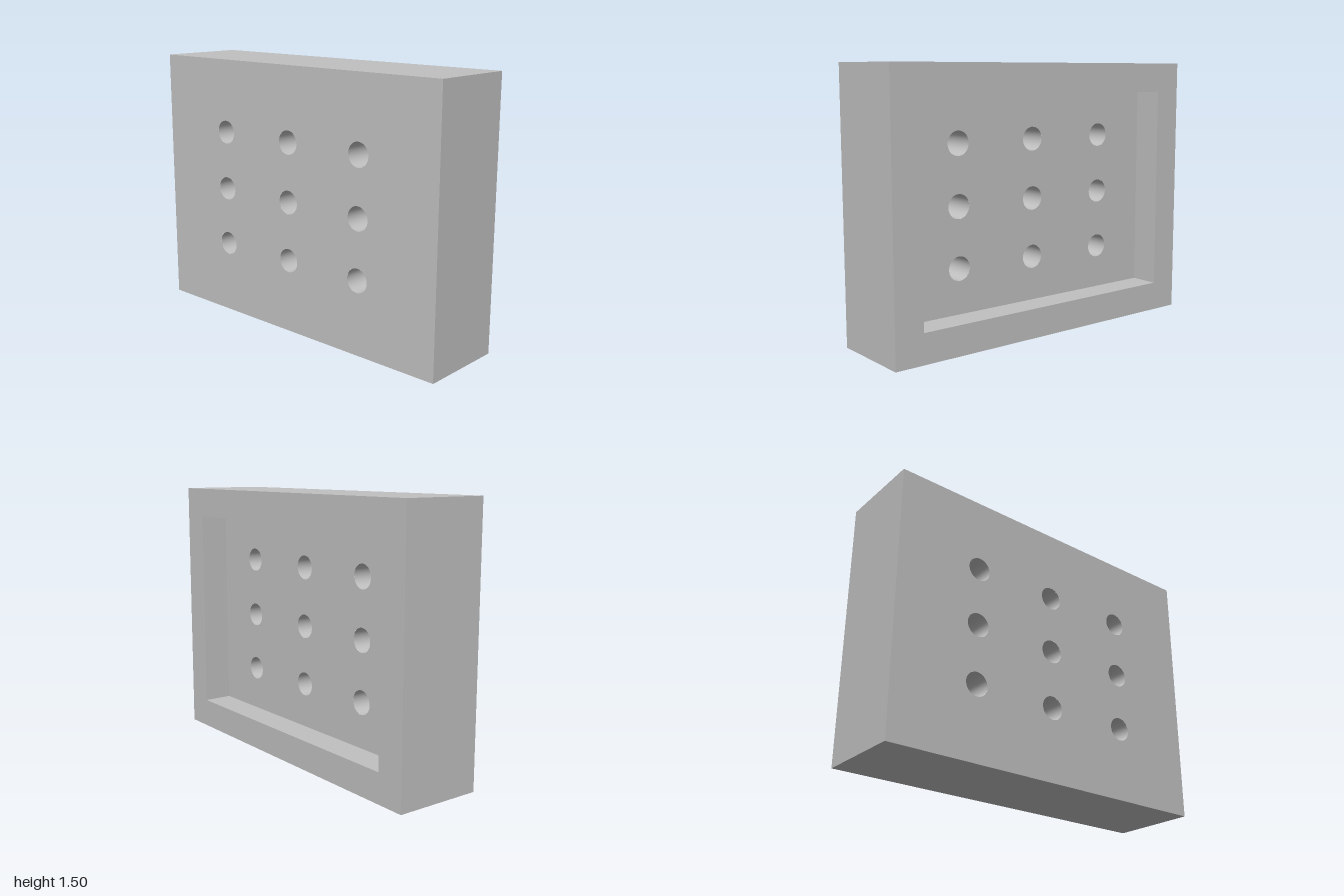
import * as THREE from 'three';

const W = 2, H = 1.5, D = 0.5;        // outer block
const RIM = 1 / 6, RECESS = 1 / 6;    // rim width and recess depth at the back
const R = 1 / 15, SEG = 48;           // drilled holes
const FLOOR_Z = -D / 2 + RECESS;

const centres = [];
for (const x of [-0.5, 0, 0.5])
  for (const y of [-1 / 3, 0, 1 / 3]) centres.push([x, y]);

// Centred rectangle as a Shape or a Path
function rect(Type, w, h) {
  return new Type([[-1, -1], [1, -1], [1, 1], [-1, 1]]
    .map(([x, y]) => new THREE.Vector2(x * w / 2, y * h / 2)));
}

// Rectangular face pierced by the nine holes
function drilledFace(w, h) {
  const shape = rect(THREE.Shape, w, h);
  for (const [x, y] of centres)
    shape.holes.push(new THREE.Path().absarc(x, y, R, 0, Math.PI * 2, true));
  return new THREE.ShapeGeometry(shape, SEG);
}

// The four side walls of a box, facing outward or inward
function walls(w, h, d, inward = false) {
  const g = new THREE.BoxGeometry(w, h, d);
  const index = Array.from(g.index.array).slice(0, 24);
  g.setIndex(inward ? index.reverse() : index);
  g.clearGroups();
  g.computeVertexNormals();
  return g;
}

export function createModel() {
  const grey = new THREE.MeshStandardMaterial({ color: 0xc0c0c0 });
  grey.name = 'light grey';
  const model = new THREE.Group();
  model.name = 'drilledBlock';

  function add(name, geometry, x, y, z) {
    const mesh = new THREE.Mesh(geometry, grey);
    mesh.name = name;
    mesh.position.set(x, y + H / 2, z);
    model.add(mesh);
  }

  const innerW = W - 2 * RIM, innerH = H - 2 * RIM;

  // Outside of the block
  add('outerWalls', walls(W, H, D), 0, 0, 0);
  add('frontFace', drilledFace(W, H), 0, 0, D / 2);

  // Back rim around the recess
  const rim = rect(THREE.Shape, W, H);
  rim.holes.push(rect(THREE.Path, innerW, innerH));
  add('backRim', new THREE.ShapeGeometry(rim).rotateY(Math.PI), 0, 0, -D / 2);

  // Recess in the back
  add('recessWalls', walls(innerW, innerH, RECESS, true), 0, 0, -D / 2 + RECESS / 2);
  add('recessFloor', drilledFace(innerW, innerH).rotateY(Math.PI), 0, 0, FLOOR_Z);

  // Hole linings: the descending profile makes them face inward
  const depth = D / 2 - FLOOR_Z;
  const lining = new THREE.LatheGeometry(
    [new THREE.Vector2(R, depth), new THREE.Vector2(R, 0)], SEG).rotateX(Math.PI / 2);
  for (const [x, y] of centres) add('holeLining', lining, x, y, FLOOR_Z);

  return model;
}
